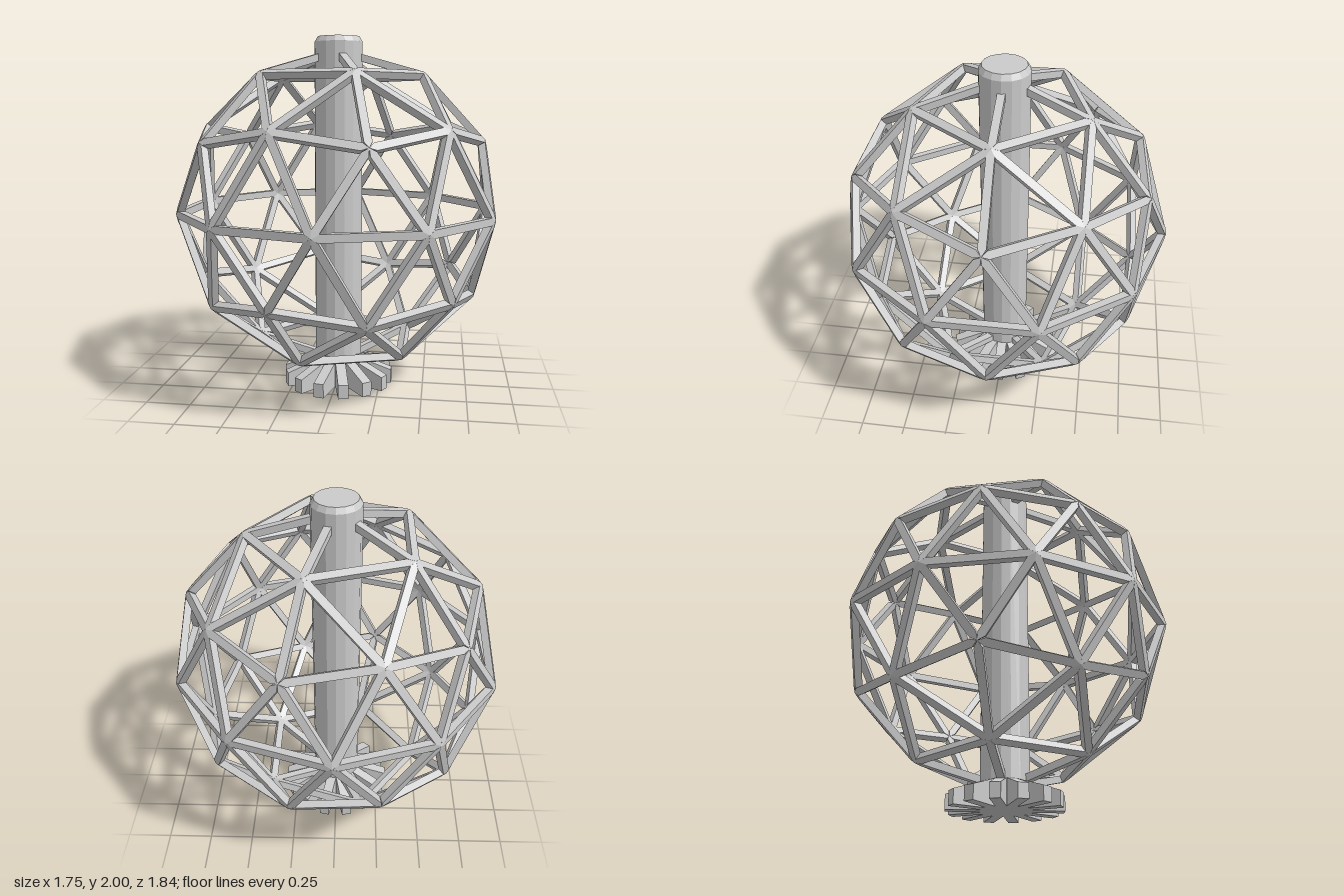
import * as THREE from 'three';
import { mergeGeometries } from 'three/addons/utils/BufferGeometryUtils.js';

const R = 0.92;          // cage radius
const CENTRE_Y = 1.02;   // cage centre height
const HALF_W = 0.021;    // half width of a strut
const DEPTH = 0.04;      // radial depth of a strut

// Vertices of a two-frequency geodesic sphere standing on a pole
function cageVertices() {
  const points = [];
  const ring = (polar, startDeg, count) => {
    for (let i = 0; i < count; i++) {
      const a = THREE.MathUtils.degToRad(startDeg) + (i / count) * Math.PI * 2;
      points.push(new THREE.Vector3(
        R * Math.sin(polar) * Math.cos(a), R * Math.cos(polar), R * Math.sin(polar) * Math.sin(a)));
    }
  };
  const vertexPolar = Math.atan(2);
  const rings = [[0, 0, 1], [vertexPolar / 2, 0, 5], [vertexPolar, 0, 5], [THREE.MathUtils.degToRad(58.2825), 36, 5]];
  for (const [polar, start, count] of rings) {
    ring(polar, start, count);
    ring(Math.PI - polar, start + 36, count);
  }
  ring(Math.PI / 2, 18, 10);
  return points;
}

// Flat strut with pointed, mitred ends; narrows toward the sphere centre
function strutGeometry(a, b) {
  const half = a.distanceTo(b) / 2;
  const inset = HALF_W / Math.tan(Math.PI / 6);
  const plan = new THREE.Shape([
    [-half, 0], [-half + inset, -HALF_W], [half - inset, -HALF_W],
    [half, 0], [half - inset, HALF_W], [-half + inset, HALF_W],
  ].map(([x, y]) => new THREE.Vector2(x, y)));
  const geo = new THREE.ExtrudeGeometry(plan, { depth: DEPTH, bevelEnabled: false });
  geo.translate(0, 0, -DEPTH);
  const mid = a.clone().add(b).multiplyScalar(0.5);
  const pos = geo.attributes.position;
  for (let i = 0; i < pos.count; i++) {
    pos.setX(i, pos.getX(i) * (1 + pos.getZ(i) / mid.length()));
  }
  const along = b.clone().sub(a).normalize();
  const out = mid.clone().normalize();
  const side = out.clone().cross(along);
  geo.applyMatrix4(new THREE.Matrix4().makeBasis(along, side, out).setPosition(mid));
  geo.computeVertexNormals();
  return geo;
}

export function createModel() {
  const model = new THREE.Group();
  model.name = 'geodesicCageOnColumn';
  const material = new THREE.MeshStandardMaterial({ color: 0xcccccc, flatShading: true });
  const add = (name, geometry, parent = model) => {
    const mesh = new THREE.Mesh(geometry, material);
    mesh.name = name;
    parent.add(mesh);
    return mesh;
  };

  // Central column with a chamfered top
  const columnProfile = [[0, 0], [0.136, 0], [0.136, 1.97], [0.118, 2], [0, 2]]
    .map(([x, y]) => new THREE.Vector2(x, y));
  add('column', new THREE.LatheGeometry(columnProfile, 16));

  // Geodesic cage: a strut between every pair of neighbouring vertices
  const points = cageVertices();
  const struts = [];
  points.forEach((a, i) => points.slice(i + 1).forEach((b) => {
    if (a.distanceTo(b) < 0.7 * R) struts.push(strutGeometry(a, b));
  }));
  add('cage', mergeGeometries(struts)).position.y = CENTRE_Y;

  // Base of radial feet with sloping tops
  const base = new THREE.Group();
  base.name = 'base';
  model.add(base);
  const footProfile = new THREE.Shape([[0, 0], [0.315, 0], [0.315, 0.08], [0.13, 0.145], [0, 0.145]]
    .map(([x, y]) => new THREE.Vector2(x, y)));
  const footWidth = 0.058;
  const footGeometry = new THREE.ExtrudeGeometry(footProfile, { depth: footWidth, bevelEnabled: false });
  footGeometry.translate(0, 0, -footWidth / 2);
  const feet = 14;
  for (let i = 0; i < feet; i++) {
    add('foot', footGeometry, base).rotation.y = (i / feet) * Math.PI * 2;
  }

  return model;
}
